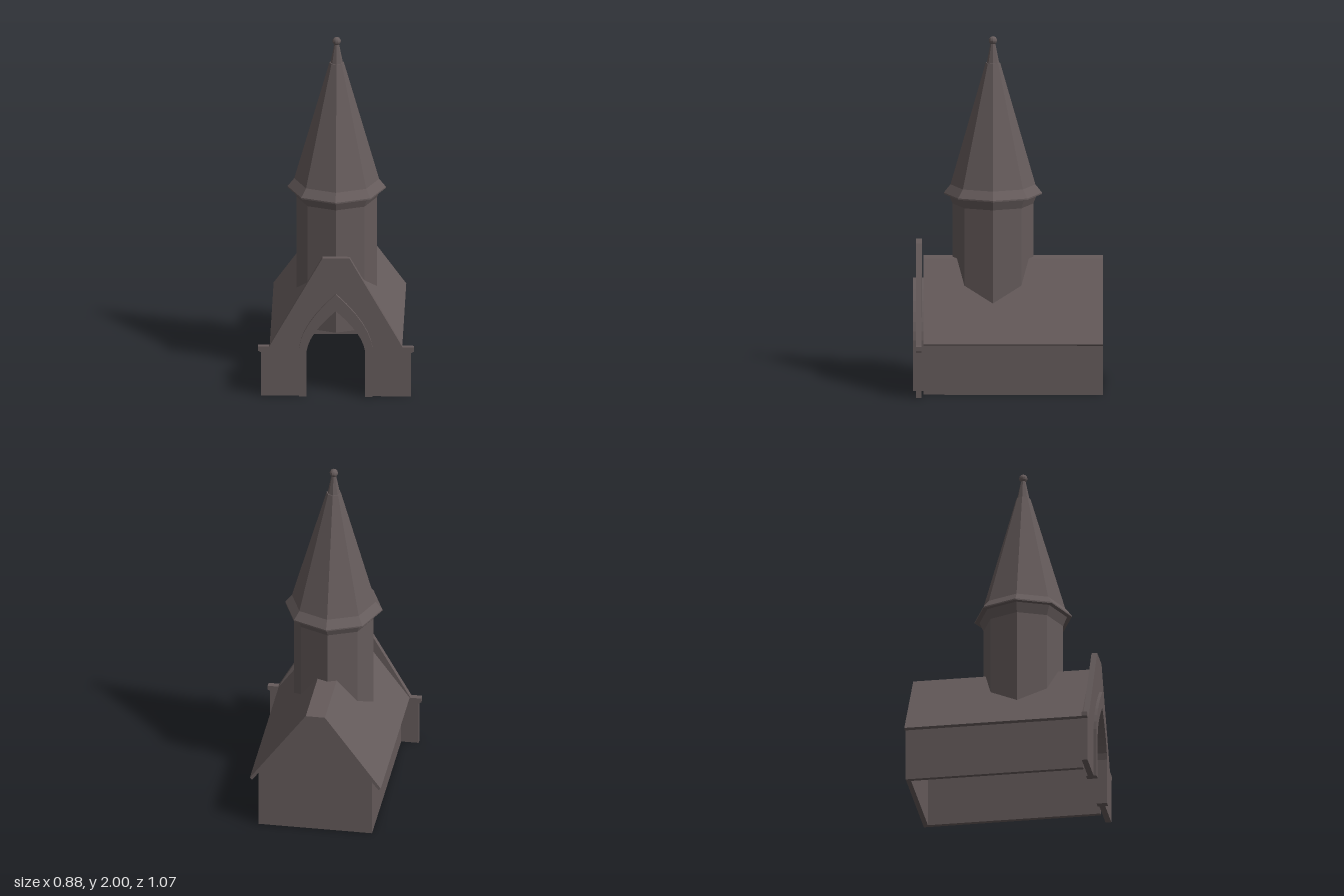
import * as THREE from 'three';

const stone = new THREE.MeshStandardMaterial({ color: 0x655b5b, flatShading: true, side: THREE.DoubleSide });

// Closed shape from the +x half of a symmetric outline
function mirrored(half) {
  const left = half.filter(([x]) => x > 0).map(([x, y]) => [-x, y]).reverse();
  return [...half, ...left].map(([x, y]) => new THREE.Vector2(x, y));
}

// Half of a pointed arch, from the ground up to the tip
function archHalf(halfWidth, spring, tip, base = 0) {
  const curve = new THREE.QuadraticBezierCurve(
    new THREE.Vector2(halfWidth, spring),
    new THREE.Vector2(halfWidth * 0.93, spring + (tip - spring) * 0.45),
    new THREE.Vector2(0, tip));
  return [[halfWidth, base], ...curve.getPoints(6).map((p) => [p.x, p.y])];
}

function extrude(name, points, z0, z1) {
  const geometry = new THREE.ExtrudeGeometry(new THREE.Shape(points), { depth: z1 - z0, bevelEnabled: false });
  geometry.translate(0, 0, z0);
  const mesh = new THREE.Mesh(geometry, stone);
  mesh.name = name;
  return mesh;
}

function turned(name, profile) {
  const points = profile.map(([r, y]) => new THREE.Vector2(r, y));
  const mesh = new THREE.Mesh(new THREE.LatheGeometry(points, 8), stone);
  mesh.name = name;
  return mesh;
}

// Outline that runs up the outside and back down the inside of an opening
function gateOutline(outer, inner) {
  const outside = mirrored(outer);
  const inside = mirrored(inner).reverse();
  return [...outside, ...inside];
}

export function createModel() {
  const group = new THREE.Group();
  group.name = 'chapel';

  // Nave: hollow walls and roof, closed by the back gable
  const naveOuter = [[0.325, 0], [0.325, 0.335], [0.362, 0.288], [0.375, 0.298], [0.055, 0.735]];
  const naveInner = [[0.3, 0], [0.3, 0.355], [0.045, 0.7]];
  group.add(extrude('naveWallsAndRoof', gateOutline(naveOuter, naveInner), -0.51, 0.478));
  group.add(extrude('backGable', mirrored(naveOuter), -0.537, -0.51));

  // Front facade with shoulder caps and a doorway
  const facadeOuter = [[0.425, 0], [0.425, 0.26], [0.44, 0.268], [0.44, 0.293], [0.378, 0.293], [0.077, 0.825]];
  group.add(extrude('facade', gateOutline(facadeOuter, archHalf(0.18, 0.28, 0.54)), 0.487, 0.52));

  // Raised pointed arch around the doorway
  group.add(extrude('doorArch',
    gateOutline(archHalf(0.208, 0.29, 0.615), archHalf(0.166, 0.27, 0.515)), 0.477, 0.537));

  // Octagonal tower and spire
  const tower = new THREE.Group();
  tower.name = 'tower';
  tower.position.set(-0.005, 0, 0.085);
  tower.add(turned('towerShaft', [[0, 0.305], [0.228, 0.305], [0.228, 1.04], [0.25, 1.095]]));
  tower.add(turned('spire', [[0, 1.095], [0.278, 1.095], [0.278, 1.103], [0.24, 1.15], [0.041, 1.848], [0, 1.85]]));
  tower.add(turned('finialStem', [[0, 1.845], [0.036, 1.845], [0.012, 1.965], [0, 1.97]]));
  const ball = new THREE.Mesh(new THREE.SphereGeometry(0.024, 10, 8), stone);
  ball.name = 'finialBall';
  ball.position.y = 1.976;
  tower.add(ball);
  group.add(tower);

  return group;
}
